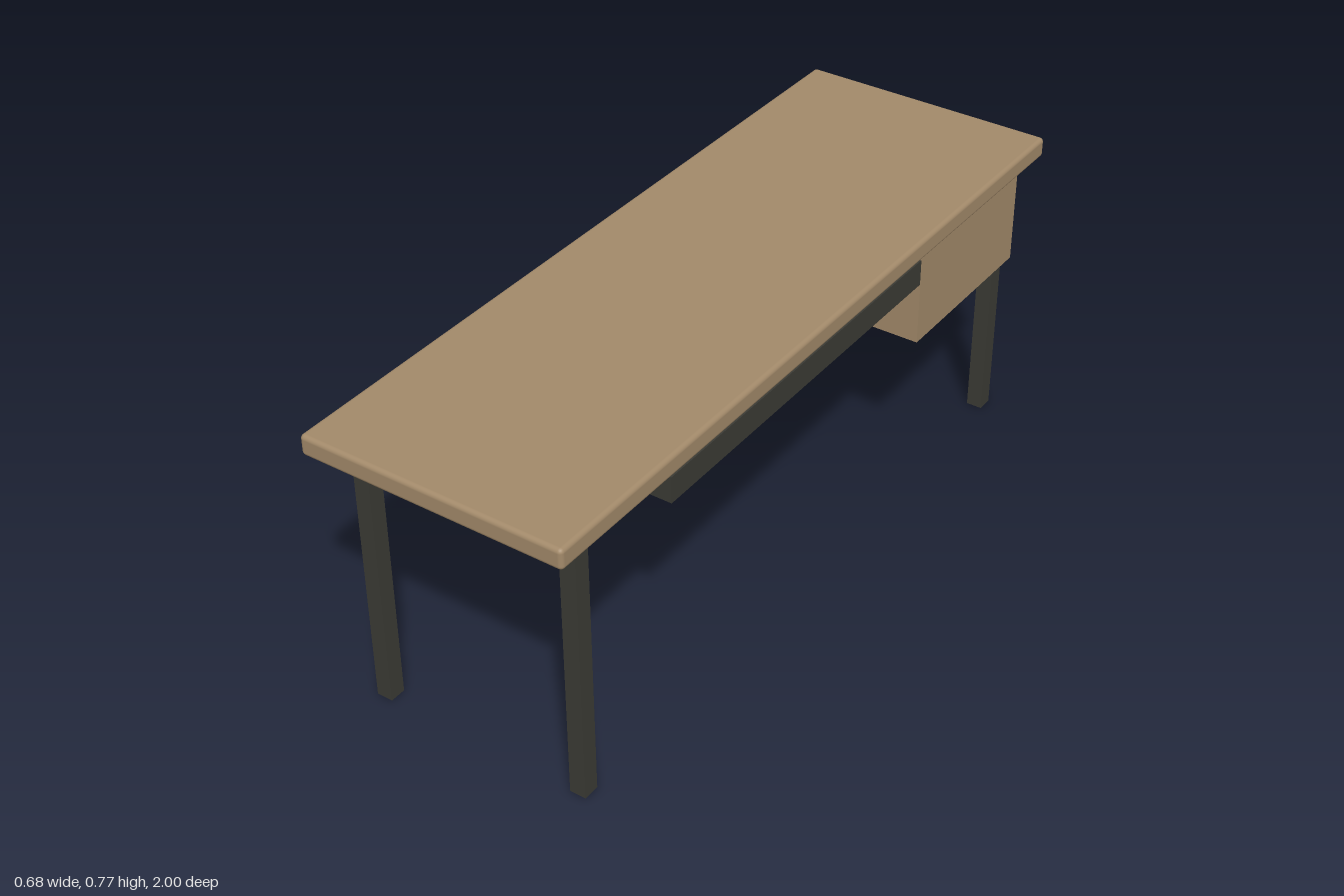
import * as THREE from 'three';
import { RoundedBoxGeometry } from 'three/addons/geometries/RoundedBoxGeometry.js';

export function createModel() {
  const desk = new THREE.Group();
  desk.name = 'desk';
  const wood = new THREE.MeshStandardMaterial({ color: 0xa38a6a });
  wood.name = 'wood';
  const metal = new THREE.MeshStandardMaterial({ color: 0x3b3b35 });
  metal.name = 'darkMetal';

  // Box given by its [min, max] extent on each axis
  function addBox(parent, name, material, [x0, x1], [y0, y1], [z0, z1]) {
    const mesh = new THREE.Mesh(new THREE.BoxGeometry(x1 - x0, y1 - y0, z1 - z0), material);
    mesh.position.set((x0 + x1) / 2, (y0 + y1) / 2, (z0 + z1) / 2);
    mesh.name = name;
    parent.add(mesh);
  }

  // Table top with softly rounded edges
  const top = new THREE.Mesh(new RoundedBoxGeometry(0.68, 0.053, 2, 3, 0.011), wood);
  top.position.y = 0.7435;
  top.name = 'tableTop';
  desk.add(top);

  // Leg frames: two square legs joined by a crossbar at each end
  for (const [end, z] of [['front', 0.88], ['back', -0.88]]) {
    const frame = new THREE.Group();
    frame.name = end + 'LegFrame';
    const depth = [z - 0.021, z + 0.021];
    addBox(frame, 'rightLeg', metal, [-0.295, -0.253], [0, 0.703], depth);
    addBox(frame, 'leftLeg', metal, [0.253, 0.295], [0, 0.703], depth);
    addBox(frame, 'crossbar', metal, [-0.253, 0.253], [0.649, 0.701], depth);
    desk.add(frame);
  }

  // Long cable tray under the top
  addBox(desk, 'cableTray', metal, [0.214, 0.31], [0.612, 0.68], [-0.444, 0.59]);

  // Storage box, open towards -x
  const box = new THREE.Group();
  box.name = 'storageBox';
  addBox(box, 'bottomPanel', wood, [-0.238, 0.295], [0.446, 0.461], [-0.922, -0.444]);
  addBox(box, 'frontPanel', wood, [-0.238, 0.295], [0.461, 0.709], [-0.459, -0.444]);
  addBox(box, 'backPanel', wood, [-0.238, 0.295], [0.461, 0.709], [-0.922, -0.907]);
  addBox(box, 'sidePanel', wood, [0.295, 0.311], [0.446, 0.709], [-0.922, -0.444]);
  desk.add(box);

  return desk;
}
